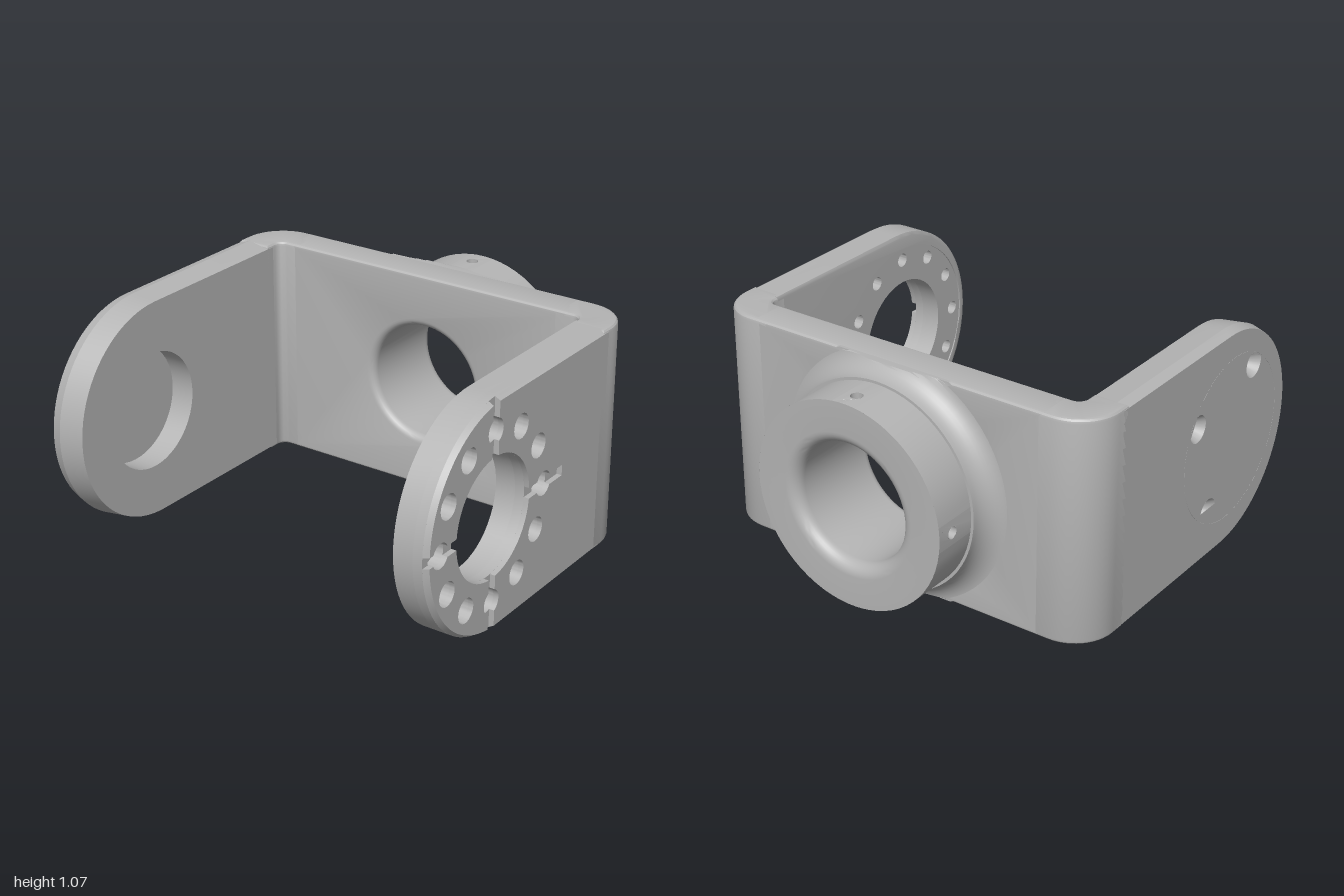
import * as THREE from 'three';
import { toCreasedNormals } from 'three/addons/utils/BufferGeometryUtils.js';

const H = 1.07, C = H / 2;            // height and centre line
const R = C, UC = -0.443;             // rounded arm end (u = -z)
const RING = -0.49, BORE = 0.28;      // pivot centre and pivot hole radius
const BOLT = 0.395, CB = 0.057, S = 0.025; // bolt circle, counterbore, half slot width
const BACK = 0.42, EDGE = 0.015;      // where arms enter the corners, edge chamfer

export function createModel() {
  const group = new THREE.Group();
  const metal = new THREE.MeshStandardMaterial({ color: 0xb4b4b4, side: THREE.DoubleSide });
  metal.name = 'grey metal';

  const add = (name, geo) => {
    const mesh = new THREE.Mesh(toCreasedNormals(geo, 0.4), metal);
    mesh.name = name;
    group.add(mesh);
  };
  const V = (x, y) => new THREE.Vector2(x, y);
  const arc = (cx, cy, r, a0, a1, n) => Array.from({ length: n + 1 }, (_, i) => {
    const a = a0 + (a1 - a0) * i / n;
    return V(cx + r * Math.cos(a), cy + r * Math.sin(a));
  });
  const hole = (shape, x, y, r) => shape.holes.push(new THREE.Path().absarc(x, y, r, 0, Math.PI * 2, true));
  const rounded = (shape, depth) => new THREE.ExtrudeGeometry(shape, {
    depth: depth - 0.04, bevelEnabled: true, bevelSize: 0.02, bevelThickness: 0.02,
    bevelOffset: -0.02, bevelSegments: 3, curveSegments: 24,
  }).translate(0, 0, 0.02);

  // Back plate with the opening for the collar
  const plate = new THREE.Shape([V(-0.76, 0), V(0.76, 0), V(0.76, H), V(-0.76, H)]);
  hole(plate, 0, C, 0.3);
  add('backPlate', rounded(plate, 0.175).translate(0, 0, -0.65));

  // Bent corners joining plate and arms
  for (const m of [1, -1]) {
    const pts = [V(0.7, -0.65), ...arc(0.8, -0.45, 0.2, -Math.PI / 2, 0, 12), V(1, -0.38), V(0.83, -0.38),
      ...arc(0.79, -0.435, 0.04, 0, -Math.PI / 2, 6), V(0.7, -0.475)];
    const shape = new THREE.Shape(pts.map(p => V(p.x * m, p.y)));
    add(m > 0 ? 'leftCorner' : 'rightCorner', rounded(shape, H).rotateX(Math.PI / 2).translate(0, H, 0));
  }

  // Arm slabs: flat layers across x, with the outer outline chamfered at one face
  const armShape = () => new THREE.Shape([V(BACK, 0), V(BACK, H), ...arc(UC, C, R, Math.PI / 2, Math.PI * 1.5, 40)]);
  const slab = (name, shapes, x0, x1, chamferX) => {
    const geo = new THREE.ExtrudeGeometry(shapes, { depth: x1 - x0, bevelEnabled: false, curveSegments: 24 })
      .rotateY(Math.PI / 2).translate(x0, 0, 0);
    const p = geo.attributes.position;
    for (let i = 0; i < p.count; i++) {
      if (chamferX === undefined || Math.abs(p.getX(i) - chamferX) > 1e-4) continue;
      const u = -p.getZ(i), y = p.getY(i) - C, d = Math.hypot(u - UC, y);
      const k = (R - EDGE) / R;
      if (u < UC && Math.abs(d - R) < 0.002) {
        p.setZ(i, -(UC + (u - UC) * k));
        p.setY(i, C + y * k);
      } else if (Math.abs(Math.abs(y) - C) < 0.002) p.setY(i, C + y * k);
    }
    add(name, geo);
  };
  const ringHoles = (shape, r, dist, angles) => angles.forEach(a =>
    hole(shape, RING + dist * Math.cos(a), C + dist * Math.sin(a), r));
  const twelve = Array.from({ length: 12 }, (_, i) => i * Math.PI / 6);
  const boltLayer = r => {
    const s = armShape();
    hole(s, RING, C, BORE);
    ringHoles(s, r, BOLT, twelve);
    return s;
  };

  // Left arm: shallow inner recess, bolt holes, counterbores
  const recess = armShape();
  hole(recess, RING, C, 0.455);
  slab('leftArmInnerFace', recess, 0.83, 0.836, 0.83);
  slab('leftArmCore', boltLayer(0.033), 0.836, 0.93);
  slab('leftArmCounterbores', boltLayer(CB), 0.93, 0.975);

  // Left arm outer layer, divided by the cross slots
  const slotEdge = (a, side, rOut) => {
    const e = V(Math.cos(a), Math.sin(a)), t = V(-e.y * side, e.x * side);
    const at = (r, w) => V(RING + e.x * r + t.x * w, C + e.y * r + t.y * w);
    if (!rOut) {
      const o = at(0, S).sub(V(UC, C)), b = o.dot(e);
      rOut = -b + Math.sqrt(b * b - o.dot(o) + R * R);
    }
    const a0 = Math.asin(S / CB);
    return [at(Math.sqrt(BORE * BORE - S * S), S),
      ...arc(BOLT, 0, CB, Math.PI - a0, a0, 10).map(q => at(q.x, q.y)), at(rOut, S)];
  };
  const outerArc = (p, q) => {
    const ang = v => (Math.atan2(v.y - C, v.x - UC) + Math.PI * 2) % (Math.PI * 2);
    return arc(UC, C, R, ang(p), ang(q), 20).slice(1, -1);
  };
  const da = Math.asin(S / BORE);
  const innerArc = (a0, a1) => arc(RING, C, BORE, a0, a1, 12).slice(1, -1);
  const last = l => l[l.length - 1];
  const Q = Math.PI / 2;
  const pieces = [];
  for (const k of [1, 2]) {
    const e1 = slotEdge(k * Q, 1), e2 = slotEdge((k + 1) * Q, -1);
    const piece = new THREE.Shape([...e1, ...outerArc(last(e1), last(e2)), ...e2.slice().reverse(),
      ...innerArc((k + 1) * Q - da, k * Q + da)]);
    ringHoles(piece, CB, BOLT, [k * Q + Math.PI / 6, k * Q + Math.PI / 3]);
    pieces.push(piece);
  }
  const low = slotEdge(-Q, 1), high = slotEdge(Q, -1);
  const rear = new THREE.Shape([
    ...low, ...outerArc(last(low), V(UC, 0)), V(UC, 0), V(BACK, 0), V(BACK, H), V(UC, H),
    ...outerArc(V(UC, H), last(high)), ...high.slice().reverse(),
    ...innerArc(Q - da, da), ...slotEdge(0, 1, 0.55), ...slotEdge(0, -1, 0.55).reverse(),
    ...innerArc(-da, -Q + da)]);
  ringHoles(rear, CB, BOLT, [-2, -1, 1, 2].map(k => k * Math.PI / 6));
  pieces.push(rear);
  slab('leftArmSlottedFace', pieces, 0.975, 1, 1);

  // Right arm: blind pocket inside, flush cover disc outside
  const pocket = armShape();
  hole(pocket, RING, C, BORE);
  slab('rightArmInner', pocket, -0.95, -0.83, -0.83);
  const seat = armShape();
  hole(seat, RING, C, 0.4);
  slab('rightArmOuter', seat, -1, -0.95, -1);
  const disc = new THREE.Shape().absarc(RING, C, 0.399, 0, Math.PI * 2);
  const screws = [0, 1, 2, 3].map(k => Math.PI / 6 + k * Q);
  ringHoles(disc, 0.065, 0.345, screws);
  slab('coverDisc', disc, -1, -0.95);
  for (const a of screws) {
    add('screwCountersink', new THREE.CylinderGeometry(0.035, 0.065, 0.05, 24, 1, true).rotateZ(-Q)
      .translate(-0.975, C + 0.345 * Math.sin(a), -RING - 0.345 * Math.cos(a)));
  }

  // Collar: bore with rounded mouths, rear face, flared root
  const FR = 0.485, Z0 = -0.978, Z1 = -0.76;
  const turn = (pts, start = 0, len = Math.PI * 2, seg = 64) =>
    new THREE.LatheGeometry(pts, seg, start, len).rotateX(Q).translate(0, C, 0);
  add('collarBore', turn([
    ...arc(0.32, -0.515, 0.04, Q, Math.PI, 6),
    ...arc(0.34, Z0 + 0.06, 0.06, Math.PI, Math.PI * 1.5, 8), V(FR, Z0)]));
  const flare = turn([V(FR, Z1), V(0.495, Z1), ...arc(0.61, Z1, 0.112, Math.PI, Q, 10), V(0.63, -0.62)]);
  const fp = flare.attributes.position;
  for (let i = 0; i < fp.count; i++) fp.setY(i, THREE.MathUtils.clamp(fp.getY(i), 0.001, H - 0.001));
  add('collarFlare', flare);

  // Collar wall in quarters, each with a small radial set-screw hole
  const W = 0.06, HZ = -0.89, HR = 0.028;
  for (let k = 0; k < 4; k++) {
    const mid = k * Q, half = W / FR;
    add('collarWall', turn([V(FR, Z0), V(FR, Z1)], mid + half, Q - 2 * half, 14));
    const row = [-1, -0.5, 0, 0.5, 1].map(f => f * W);
    const patch = new THREE.Shape([...row.map(s => V(s, Z0)), ...row.slice().reverse().map(s => V(s, Z1))]);
    hole(patch, 0, HZ, HR);
    const geo = new THREE.ShapeGeometry(patch, 12), p = geo.attributes.position;
    for (let i = 0; i < p.count; i++) {
      const f = mid + p.getX(i) / FR;
      p.setXYZ(i, FR * Math.sin(f), C - FR * Math.cos(f), p.getY(i));
    }
    add('collarWallPatch', geo);
    add('setScrewHole', turn([V(0, -FR + 0.1), V(HR, -FR + 0.08), V(HR, -FR)], 0, Math.PI * 2, 20)
      .translate(0, -C, 0).rotateX(-Q).rotateZ(mid).translate(0, C, HZ));
  }
  return group;
}
